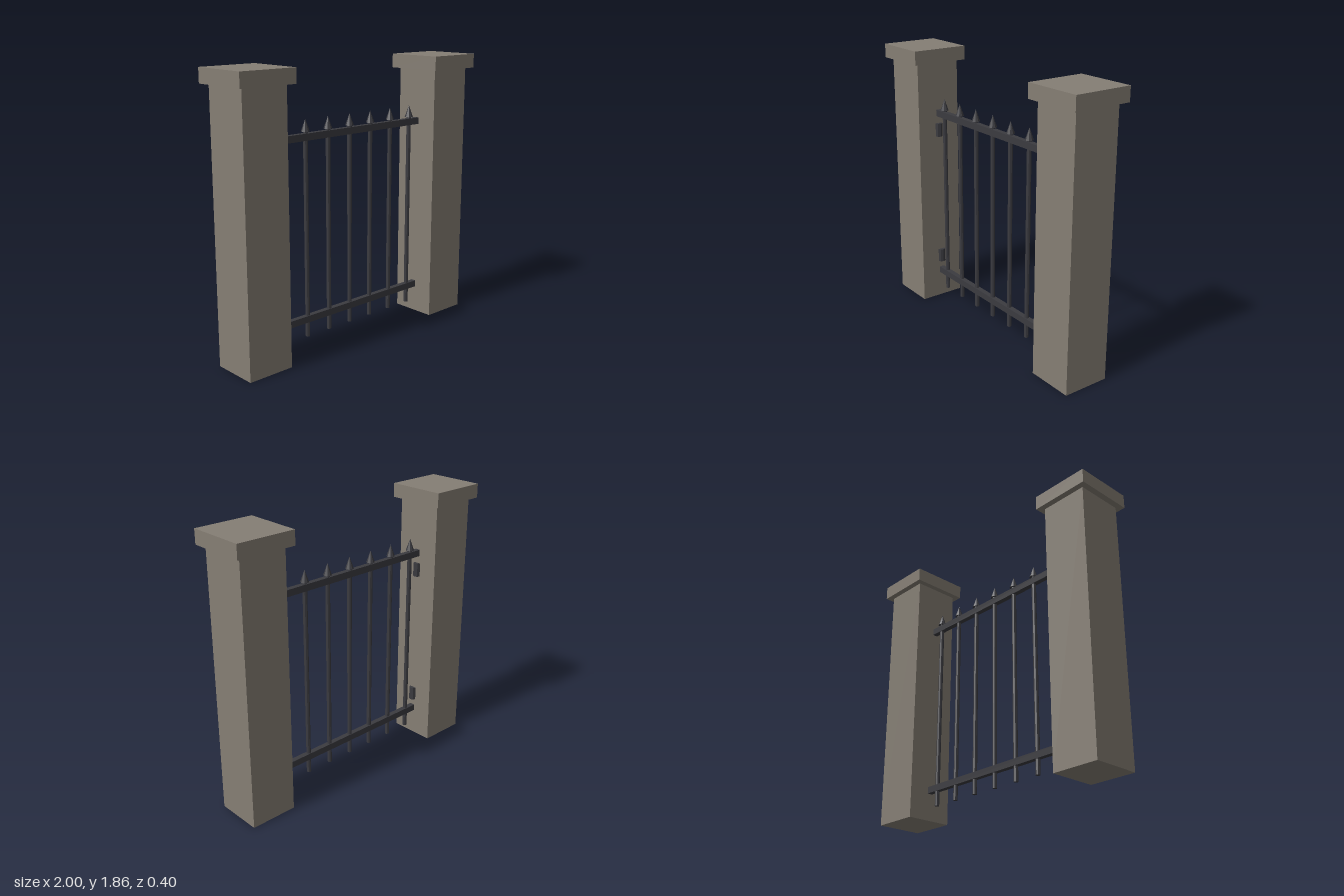
import * as THREE from 'three';

export function createModel() {
  const model = new THREE.Group();
  model.name = 'gate';
  const stone = new THREE.MeshStandardMaterial({ color: 0x857e74 });
  stone.name = 'stone';
  const iron = new THREE.MeshStandardMaterial({ color: 0x3b3b40 });
  iron.name = 'darkIron';
  iron.flatShading = true;

  const add = (name, geometry, material, x, y, z = 0) => {
    const mesh = new THREE.Mesh(geometry, material);
    mesh.name = name;
    mesh.position.set(x, y, z);
    model.add(mesh);
    return mesh;
  };

  // Stone pillars with overhanging caps
  const pillar = new THREE.BoxGeometry(0.32, 1.765, 0.32);
  const cap = new THREE.BoxGeometry(0.4, 0.095, 0.4);
  for (const [side, s] of [['left', 1], ['right', -1]]) {
    add(side + 'Pillar', pillar, stone, s * 0.8, 0.8825);
    add(side + 'PillarCap', cap, stone, s * 0.8, 1.8125);
  }

  // Horizontal rails between the pillars
  const rail = new THREE.BoxGeometry(1.28, 0.045, 0.036);
  add('lowerRail', rail, iron, 0, 0.207);
  add('upperRail', rail, iron, 0, 1.407);

  // Vertical bars with pointed finials
  const bar = new THREE.CylinderGeometry(0.015, 0.015, 1.36, 8);
  const finial = new THREE.ConeGeometry(0.028, 0.08, 8);
  for (let i = 0; i < 7; i++) {
    const x = -0.56 + (i * 1.12) / 6;
    add('bar' + (i + 1), bar, iron, x, 0.765);
    add('finial' + (i + 1), finial, iron, x, 1.48);
  }

  // Hinge barrels set into the right pillar
  const hinge = new THREE.CylinderGeometry(0.026, 0.026, 0.095, 8);
  add('lowerHinge', hinge, iron, -0.64, 0.325);
  add('upperHinge', hinge, iron, -0.64, 1.285);

  return model;
}
